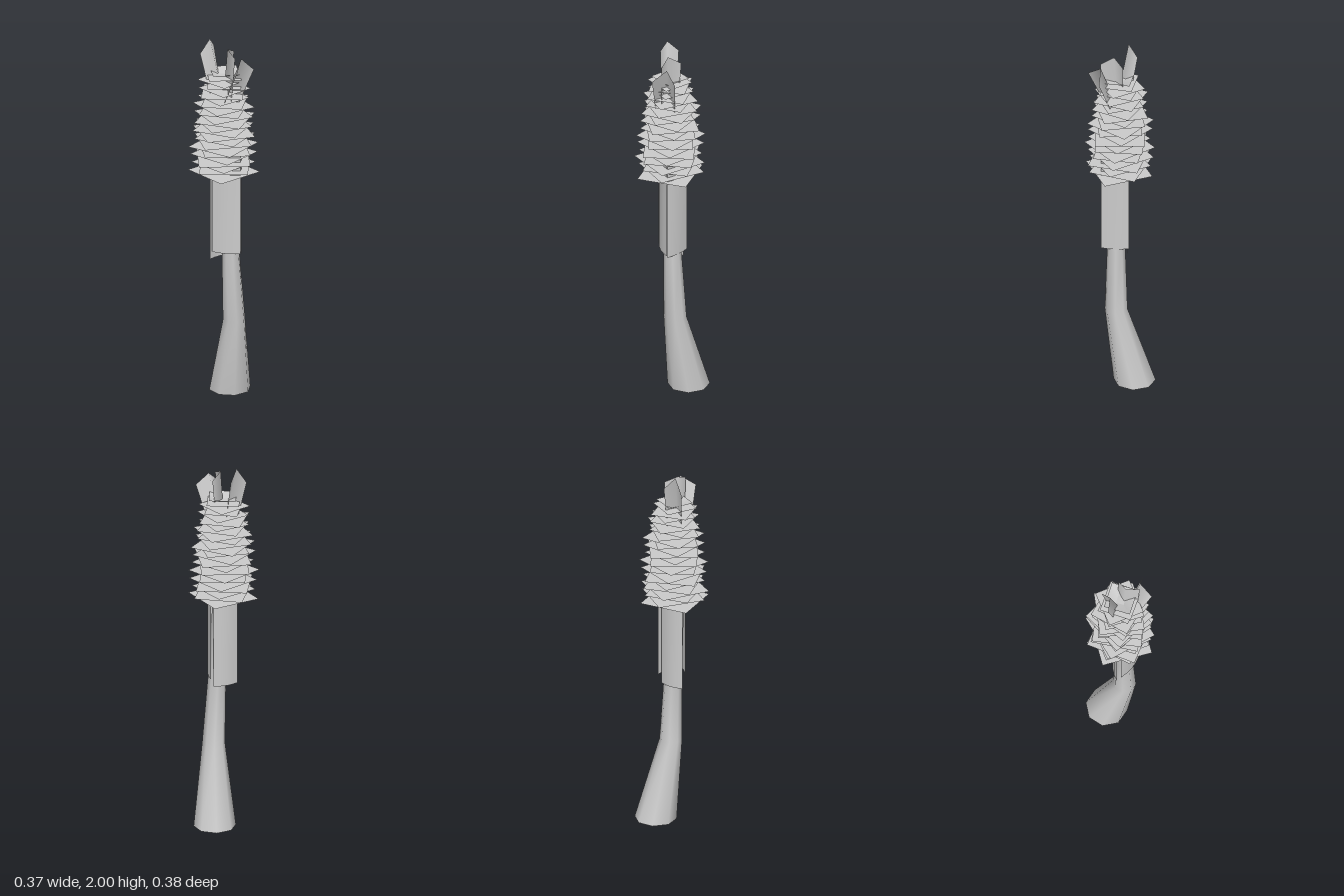
import * as THREE from 'three';
import { mergeVertices } from 'three/addons/utils/BufferGeometryUtils.js';

const sheet = new THREE.MeshStandardMaterial({ color: 0xcccccc, side: THREE.DoubleSide });

function add(group, name, geometry) {
  const mesh = new THREE.Mesh(geometry, sheet);
  mesh.name = name;
  group.add(mesh);
  return mesh;
}

// Bent, tapering octagonal tube, open at the bottom; rings are [x, y, z, radius]
function trunkGeometry(rings) {
  const g = new THREE.CylinderGeometry(1, 1, rings.length - 1, 8, rings.length - 1, true);
  const p = g.attributes.position;
  for (let i = 0; i < p.count; i++) {
    // cylinder rows run from top to bottom
    const [x, y, z, r] = rings[Math.round(p.getY(i) + (rings.length - 1) / 2)];
    p.setXYZ(i, x + p.getX(i) * r, y, z + p.getZ(i) * r);
  }
  g.deleteAttribute('uv');
  g.deleteAttribute('normal');
  const smooth = mergeVertices(g);
  smooth.computeVertexNormals();
  return smooth;
}

// Upright sheet between two ground points, bowed slightly outward
function barkGeometry([x0, z0], [x1, z1], bottom, top, bow) {
  const g = new THREE.PlaneGeometry(1, top - bottom, 4, 1);
  const p = g.attributes.position;
  const dx = x1 - x0, dz = z1 - z0, len = Math.hypot(dx, dz);
  for (let i = 0; i < p.count; i++) {
    const t = p.getX(i) + 0.5;
    const out = bow * 4 * t * (1 - t);
    p.setXYZ(i, x0 + dx * t - (dz / len) * out, p.getY(i) + (top + bottom) / 2, z0 + dz * t + (dx / len) * out);
  }
  g.computeVertexNormals();
  return g;
}

// Leaf folded along its spine: spine base, tip, then the two shoulders and two lower corners
function leafGeometry({ spine, tip, sides, lows }) {
  const g = new THREE.BufferGeometry();
  const corners = [spine, lows[0], sides[0], spine, sides[0], tip, spine, sides[1], lows[1], spine, tip, sides[1]];
  g.setAttribute('position', new THREE.Float32BufferAttribute(corners.flat(), 3));
  const smooth = mergeVertices(g);
  smooth.computeVertexNormals();
  return smooth;
}

export function createModel() {
  const model = new THREE.Group();
  model.name = 'palmTree';

  // Trunk
  add(model, 'trunk', trunkGeometry([
    [0.053, 0, -0.081, 0.111],
    [0.051, 0.43, 0.016, 0.06],
    [0.032, 0.82, 0.017, 0.047],
    [0.004, 1.38, 0.017, 0.044],
    [0.005, 1.785, 0.01, 0.022],
  ]));

  // Three loose bark sheets wrapped around the trunk, with narrow gaps between them
  const bark = new THREE.Group();
  bark.name = 'bark';
  model.add(bark);
  add(bark, 'barkFront', barkGeometry([-0.068, 0.02], [0.066, 0.09], 0.82, 1.38, 0.012));
  add(bark, 'barkSide', barkGeometry([0.072, 0.094], [0.07, -0.053], 0.815, 1.375, 0.01));
  add(bark, 'barkBack', barkGeometry([0.056, -0.042], [-0.074, 0.0], 0.77, 1.33, 0.015));

  // Stack of flat square frond layers, turned against each other
  const fronds = new THREE.Group();
  fronds.name = 'frondLayers';
  model.add(fronds);
  const layers = 23;
  for (let i = 0; i < layers; i++) {
    const t = i / (layers - 1);
    const radius = 0.19 - 0.06 * Math.pow(t, 2.5) - 0.01 * (i % 3);
    const layer = add(fronds, 'frondLayer', new THREE.PlaneGeometry(radius * Math.SQRT2, radius * Math.SQRT2));
    layer.rotation.set(-Math.PI / 2, 0, (i - layers + 1) * 2.4 - 0.15);
    layer.position.set(0.004 * Math.sin(i * 1.7), 1.265 + 0.54 * t, 0.004 * Math.cos(i * 2.3));
  }

  // Shallow cup closing the stack
  const cup = add(model, 'crownCup', new THREE.ConeGeometry(0.1, 0.035, 4, 1, true));
  cup.rotation.set(Math.PI, 0.9, 0);
  cup.position.set(0.003, 1.812, 0.005);

  // Folded young leaves at the top
  const leaves = new THREE.Group();
  leaves.name = 'crownLeaves';
  model.add(leaves);
  [
    { spine: [-0.02, 1.75, 0.005], tip: [-0.065, 2, -0.04],
      sides: [[-0.118, 1.92, -0.04], [-0.03, 1.94, -0.09]], lows: [[-0.065, 1.66, 0], [-0.008, 1.69, -0.05]] },
    { spine: [0.02, 1.75, 0.045], tip: [0.07, 1.925, 0.095],
      sides: [[0.137, 1.86, 0.1], [0.03, 1.87, 0.165]], lows: [[0.065, 1.63, 0.03], [-0.025, 1.66, 0.085]] },
    { spine: [0, 1.77, 0.02], tip: [0.012, 1.96, 0.03],
      sides: [[0.06, 1.925, -0.02], [0.035, 1.93, 0.1]], lows: [[0.042, 1.7, -0.018], [0.02, 1.68, 0.085]] },
  ].forEach((leaf) => add(leaves, 'crownLeaf', leafGeometry(leaf)));

  return model;
}
